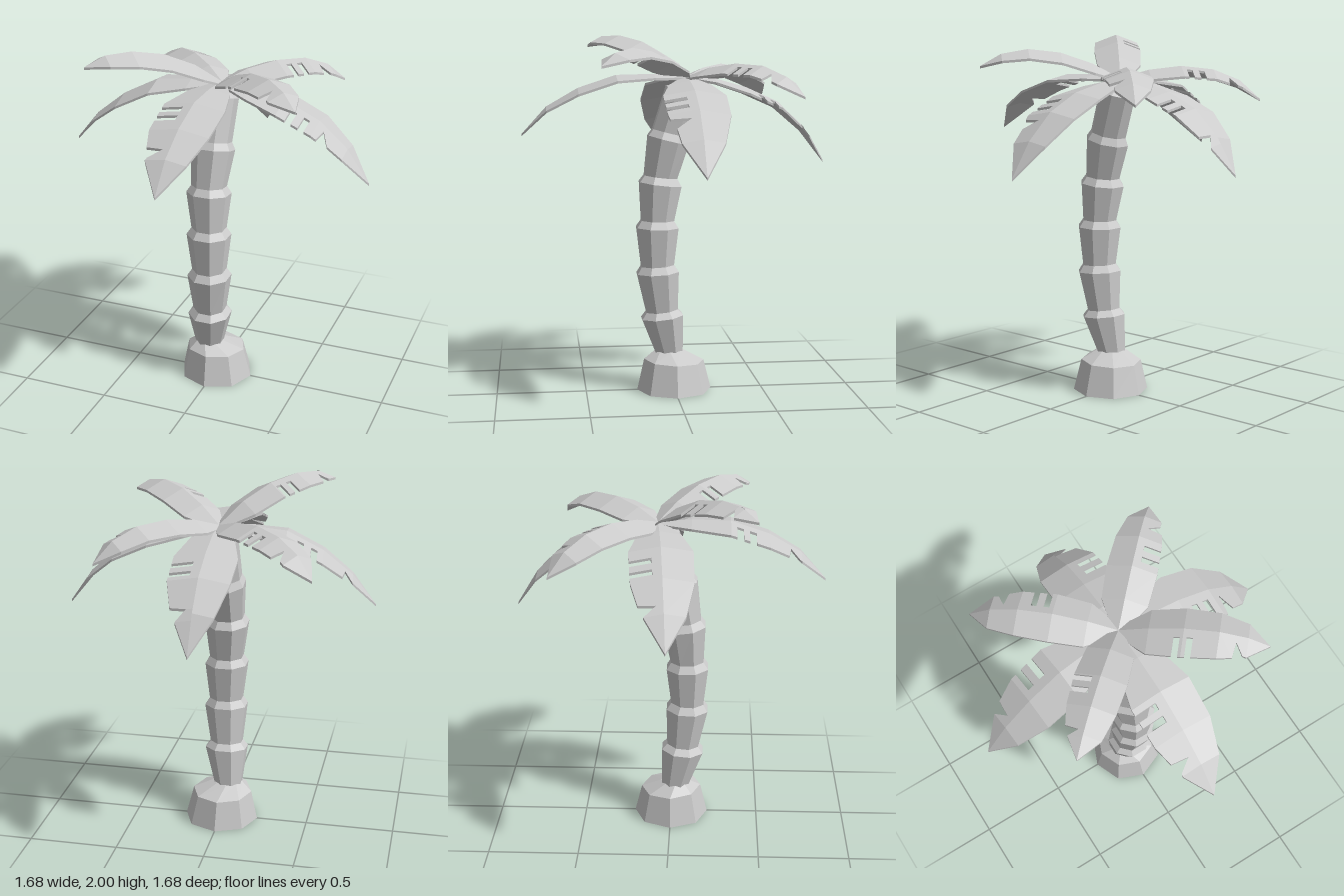
import * as THREE from 'three';

const SIDES = 8;
const material = new THREE.MeshStandardMaterial({ color: 0xcccccc, flatShading: true, side: THREE.DoubleSide });

// Collects quads as loose triangles, then makes a mesh
function quadMesh(name, quads) {
  const pos = [];
  for (const [a, b, c, d] of quads) for (const p of [a, b, c, a, c, d]) pos.push(...p);
  const geo = new THREE.BufferGeometry();
  geo.setAttribute('position', new THREE.Float32BufferAttribute(pos, 3));
  geo.computeVertexNormals();
  const mesh = new THREE.Mesh(geo, material);
  mesh.name = name;
  return mesh;
}

// Eight-sided loft through rings [y, x, z, radius, tilt]
function loft(name, rings, turn) {
  const pts = rings.map(([y, x, z, r, tilt = 0]) => Array.from({ length: SIDES }, (_, i) => {
    const a = ((i + turn) / SIDES) * Math.PI * 2;
    const dz = Math.cos(a) * r;
    return [x + Math.sin(a) * r, y + tilt * dz, z + dz];
  }));
  const quads = [];
  for (let k = 0; k < pts.length - 1; k++) {
    for (let i = 0; i < SIDES; i++) {
      const j = (i + 1) % SIDES;
      quads.push([pts[k][i], pts[k][j], pts[k + 1][j], pts[k + 1][i]]);
    }
  }
  return quadMesh(name, quads);
}

// Value of a piecewise linear profile at fraction t
const STEPS = [0, 0.2, 0.43, 0.66, 0.85, 1];
function sample(values, t) {
  let i = 0;
  while (i < STEPS.length - 2 && t > STEPS[i + 1]) i++;
  return THREE.MathUtils.lerp(values[i], values[i + 1], (t - STEPS[i]) / (STEPS[i + 1] - STEPS[i]));
}

const ROOT_Z = -0.07;
const THICK = 0.013;

// Arched leaf with a ridge, drooping halves and cuts along its right edge
function frond({ tip, heights, widths, droop, slots, notch }) {
  const dx = tip[0], dz = tip[1] - ROOT_Z;
  const len = Math.hypot(dx, dz);
  const f = [dx / len, dz / len];
  const plain = STEPS.map(t => [t, 1]);

  // Right edge: two square slots and one pointed notch, as [fraction, share of width]
  const cuts = [];
  for (const s of slots) cuts.push([s, 1], [s, 0.3], [s + 0.04, 0.3], [s + 0.04, 1]);
  cuts.push([notch, 1], [notch + 0.015, 0.3], [notch + 0.065, 0.92]);
  const inCut = t => slots.some(s => t >= s && t <= s + 0.04) || (t >= notch && t <= notch + 0.065);
  const before = plain.filter(([t]) => !inCut(t));
  const edge = [...before, ...cuts].map((p, i) => [...p, i]).sort((a, b) => a[0] - b[0] || a[2] - b[2]);

  const point = (t, share, side, drop) => {
    const w = sample(widths, t) * share;
    return [
      f[0] * len * t - side * f[1] * w,
      sample(heights, t) - droop * w - drop,
      ROOT_Z + f[1] * len * t + side * f[0] * w
    ];
  };
  const quads = [];
  for (const [side, line] of [[1, edge], [-1, plain]]) {
    for (let i = 0; i < line.length - 1; i++) {
      const [t0, s0] = line[i], [t1, s1] = line[i + 1];
      const face = d => [point(t0, 0, side, d), point(t0, s0, side, d), point(t1, s1, side, d), point(t1, 0, side, d)];
      const top = face(0), under = face(THICK);
      const wall = [top[1], under[1], under[2], top[2]];
      const set = t1 > t0 ? [top, [...under].reverse(), wall] : [wall];
      for (const q of set) quads.push(side > 0 ? q : [...q].reverse());
    }
  }
  return quadMesh('frond', quads);
}

export function createModel() {
  const model = new THREE.Group();
  model.name = 'palmTree';

  // Flared foot with a closed underside
  model.add(loft('trunkBase', [
    [0, 0, 0, 0], [0, 0, 0, 0.21], [0.17, -0.005, 0, 0.17, 0.04],
    [0.22, -0.035, 0.025, 0.08], [0.22, -0.035, 0.025, 0]
  ], 0));

  // Curved trunk: each segment flares upward, then steps in
  model.add(loft('trunk', [
    [0.21, -0.035, 0.025, 0.082, -0.1],
    [0.42, -0.017, 0.066, 0.125, -0.1], [0.455, -0.017, 0.068, 0.095, -0.1],
    [0.675, -0.01, 0.092, 0.125, -0.05], [0.715, -0.01, 0.093, 0.098, -0.05],
    [0.93, -0.012, 0.093, 0.125, 0.02], [0.97, -0.012, 0.092, 0.098, 0.02],
    [1.175, -0.018, 0.076, 0.125, 0.12], [1.215, -0.018, 0.074, 0.098, 0.12],
    [1.42, -0.01, 0.032, 0.12, 0.25], [1.46, -0.01, 0.024, 0.1, 0.25],
    [1.69, 0, -0.05, 0.1, 0.3], [1.755, 0, -0.07, 0]
  ], 0.5));

  // Crown: four broad drooping fronds and four narrower raised ones
  const broad = { widths: [0.03, 0.115, 0.168, 0.162, 0.11, 0], droop: 0.17 };
  const narrow = { widths: [0.03, 0.12, 0.132, 0.122, 0.09, 0], droop: 0.38 };
  const crown = new THREE.Group();
  crown.name = 'crown';
  crown.add(
    frond({ ...broad, tip: [0, 0.84], heights: [1.77, 1.785, 1.78, 1.71, 1.61, 1.46], slots: [0.465, 0.54], notch: 0.77 }),
    frond({ ...broad, tip: [0, -0.845], heights: [1.77, 1.76, 1.71, 1.63, 1.49, 1.30], slots: [0.505, 0.59], notch: 0.81 }),
    frond({ ...broad, tip: [0.84, -0.07], heights: [1.77, 1.75, 1.71, 1.62, 1.48, 1.30], slots: [0.49, 0.575], notch: 0.69 }),
    frond({ ...broad, tip: [-0.845, 0], heights: [1.77, 1.77, 1.75, 1.65, 1.52, 1.36], slots: [0.5, 0.585], notch: 0.785 }),
    frond({ ...narrow, tip: [-0.555, 0.45], heights: [1.77, 1.88, 1.96, 1.995, 1.99, 1.94], slots: [0.44, 0.525], notch: 0.8 }),
    frond({ ...narrow, tip: [0.575, 0.43], heights: [1.77, 1.85, 1.91, 1.93, 1.905, 1.84], slots: [0.37, 0.455], notch: 0.76 }),
    frond({ ...narrow, tip: [0.535, -0.62], heights: [1.77, 1.82, 1.845, 1.835, 1.78, 1.68], slots: [0.48, 0.565], notch: 0.74 }),
    frond({ ...narrow, tip: [-0.575, -0.6], heights: [1.77, 1.815, 1.835, 1.815, 1.755, 1.65], slots: [0.46, 0.545], notch: 0.75 })
  );
  model.add(crown);
  return model;
}
